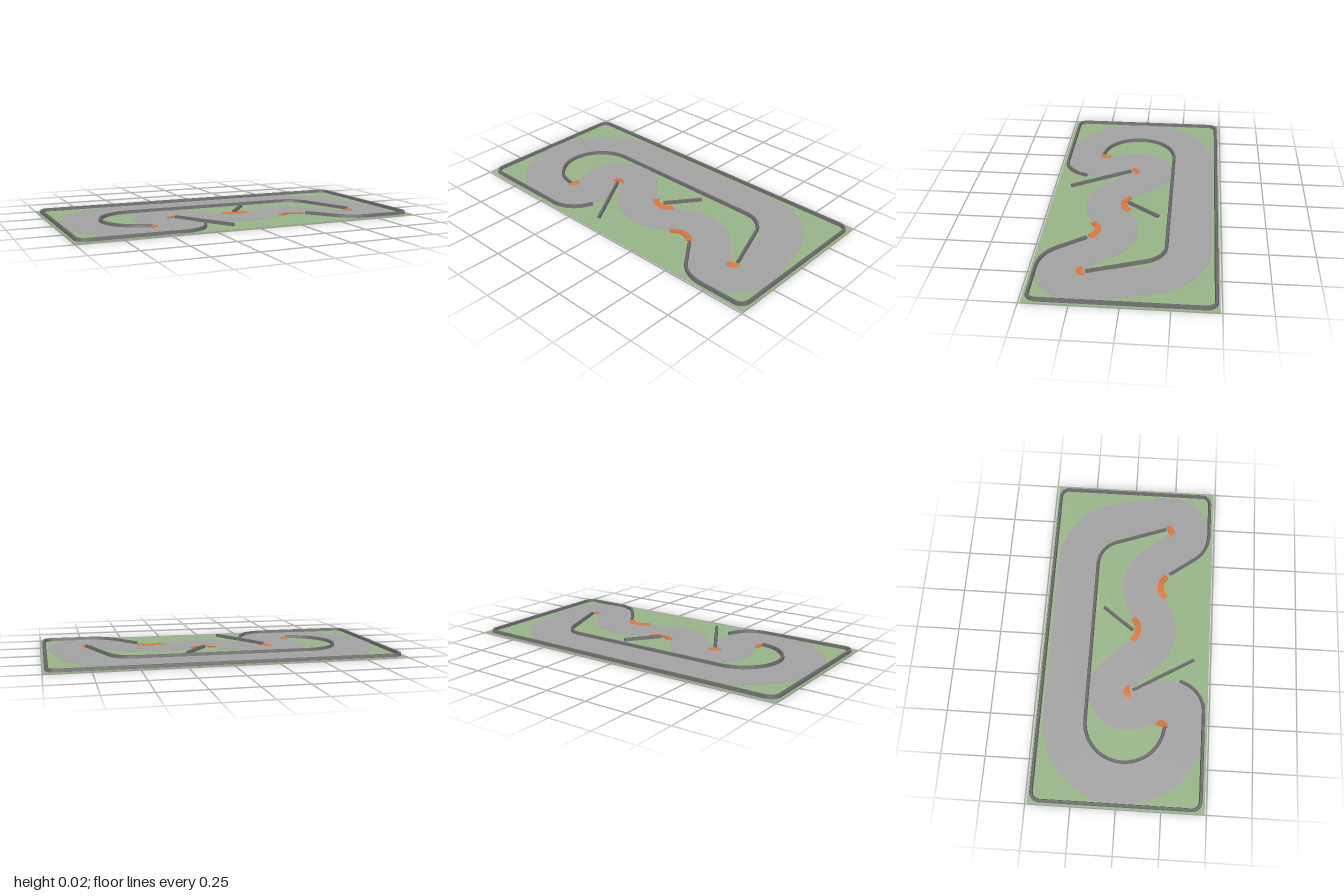
import * as THREE from 'three';
import { toCreasedNormals } from 'three/addons/utils/BufferGeometryUtils.js';

const GROUND = 0.004;

// Path that wraps round circles [x, z, r] like a belt; r > 0 turns left, r < 0 right, 0 is an end point.
function belt(circles, closed) {
  const n = circles.length;
  const heading = (i) => {
    const [x1, z1, r1] = circles[i], [x2, z2, r2] = circles[(i + 1) % n];
    const dx = x2 - x1, dz = z2 - z1;
    return Math.atan2(dz, dx) + Math.asin((r2 - r1) / Math.hypot(dx, dz));
  };
  const path = [];
  circles.forEach(([x, z, r], i) => {
    const first = !closed && i === 0, last = !closed && i === n - 1;
    const from = first ? heading(0) : heading((i + n - 1) % n);
    let turn = first || last ? 0 : heading(i) - from;
    const full = Math.PI * 2;
    turn = ((turn % full) + full) % full;
    if (r > 0 && turn > 0) turn -= full;
    const steps = Math.ceil(Math.abs(turn) / 0.09);
    for (let k = 0; k <= steps; k++) {
      const a = from + (steps ? turn * k / steps : 0);
      path.push({ x: x - r * Math.sin(a), z: z + r * Math.cos(a), a });
    }
  });
  if (closed) path.push({ ...path[0] });
  return path;
}

// Circular path between two angles in degrees (90 points to +z).
function arc(x, z, r, from, to) {
  const path = [];
  for (let k = 0; k <= 16; k++) {
    const a = THREE.MathUtils.degToRad(from + (to - from) * k / 16);
    path.push({ x: x + r * Math.cos(a), z: z + r * Math.sin(a), a: a + Math.PI / 2 });
  }
  return path;
}

// Sweep a profile of [sideways offset, height] points along a path and cap its ends.
function sweep(path, profile, closed = false) {
  const pos = [], index = [], m = profile.length, last = (path.length - 1) * m;
  for (const { x, z, a } of path)
    for (const [o, y] of profile) pos.push(x - Math.sin(a) * o, y, z + Math.cos(a) * o);
  for (let i = 0; i < path.length - 1; i++)
    for (let j = 0; j < m - 1; j++) {
      const p = i * m + j, q = p + m;
      index.push(p, p + 1, q, q, p + 1, q + 1);
    }
  if (!closed)
    for (let j = 1; j < m - 1; j++)
      index.push(0, j + 1, j, last, last + j, last + j + 1);
  const geo = new THREE.BufferGeometry();
  geo.setAttribute('position', new THREE.Float32BufferAttribute(pos, 3));
  geo.setIndex(index);
  return toCreasedNormals(geo, 0.5);
}

export function createModel() {
  const group = new THREE.Group();
  const mat = (color) => new THREE.MeshStandardMaterial({ color });
  const grass = mat(0x98b488), asphalt = mat(0xa2a2a2), rail = mat(0x6a6a6a), orange = mat(0xd9773f);
  const add = (name, geo, material) => {
    const mesh = new THREE.Mesh(geo, material);
    mesh.name = name;
    group.add(mesh);
    return mesh;
  };

  // Ground plate
  add('ground', new THREE.BoxGeometry(2, GROUND, 0.98), grass).position.y = GROUND / 2;

  // Road loop
  const road = belt([
    [-0.51, 0.015, 0.345], [-0.475, 0.25, 0.115], [-0.32, 0.03, -0.115], [0.06, -0.025, 0.195],
    [0.345, 0.27, -0.195], [0.72, 0.22, 0.125], [0.49, -0.03, 0.3],
  ], true);
  const hw = 0.117;
  add('road', sweep(road, [[-hw, GROUND], [-hw, 0.0055], [hw, 0.0055], [hw, GROUND]], true), asphalt);

  // Barriers
  const wall = [[-0.01, GROUND], [-0.006, 0.021], [0.006, 0.021], [0.01, GROUND]];
  const barriers = {
    outerBarrier: [
      [-0.243, 0.325, 0], [-0.42, 0.292, -0.175], [-0.928, 0.417, -0.05], [-0.928, -0.422, -0.05],
      [0.928, -0.422, -0.05], [0.928, 0.417, -0.05], [0.71, 0.252, -0.215], [0.43, 0.235, 0],
    ],
    innerBarrier: [[0.735, 0.2, 0], [0.48, -0.05, 0.155], [-0.51, 0.021, 0.227], [-0.52, 0.25, 0]],
    leftDivider: [[-0.315, 0.055, 0], [-0.11, 0.4, 0]],
    centreDivider: [[0.055, 0.035, 0], [0.19, -0.145, 0]],
  };
  for (const [name, points] of Object.entries(barriers)) add(name, sweep(belt(points, false), wall), rail);

  // Sloped kerbs on the inside of the bends: x, z, radius, start and end angle
  const kerb = [[-0.018, GROUND], [-0.018, 0.007], [0.018, 0.012], [0.018, GROUND]];
  [
    [-0.52, 0.23, 0.02, -80, 100], [-0.325, 0.04, 0.02, 160, 350], [0.06, -0.025, 0.09, 38, 142],
    [0.345, 0.275, 0.09, 218, 322], [0.722, 0.215, 0.02, -20, 160],
  ].forEach((k, i) => add('kerb' + (i + 1), sweep(arc(...k), kerb), orange));

  return group;
}
